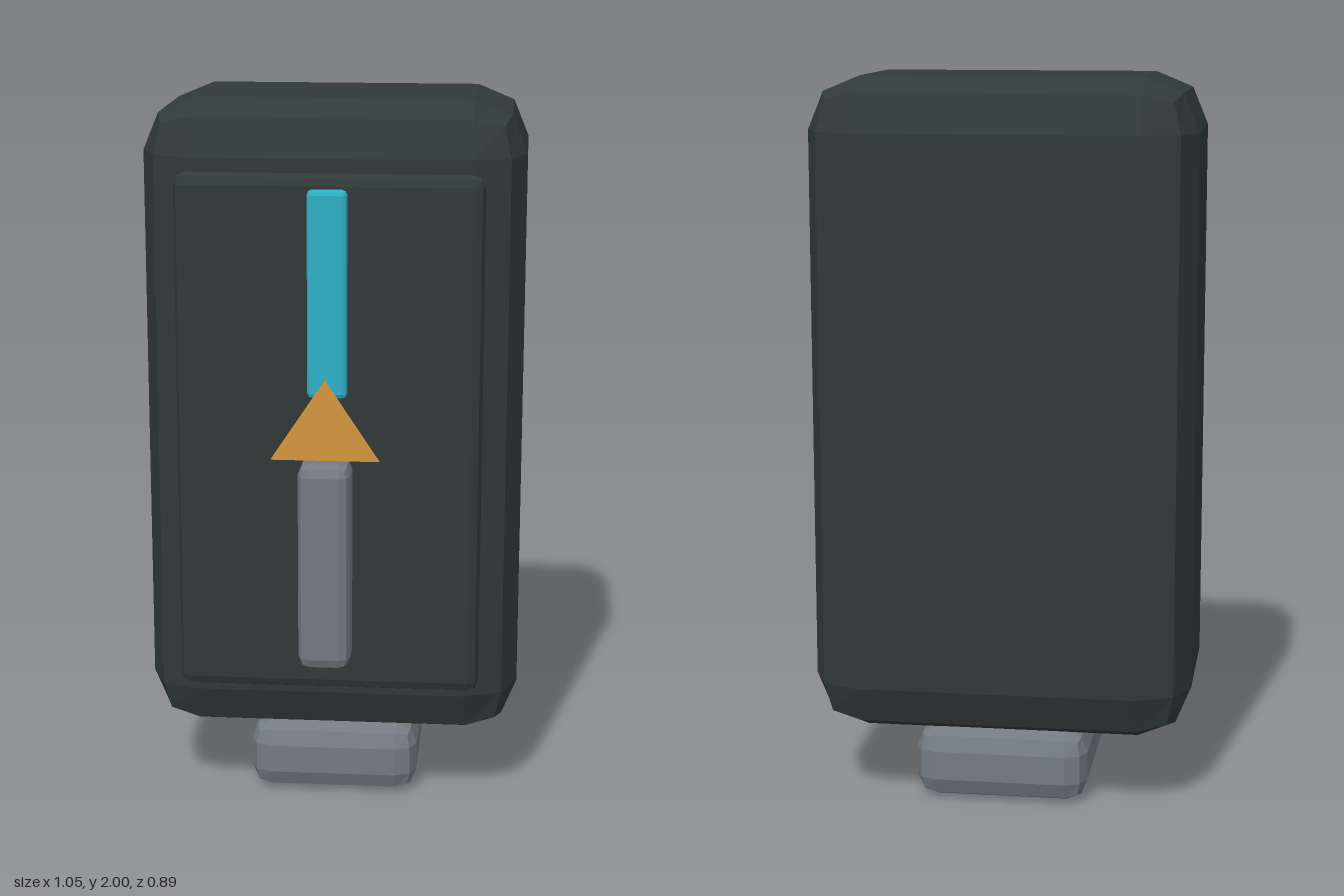
import * as THREE from 'three';
import { RoundedBoxGeometry } from 'three/addons/geometries/RoundedBoxGeometry.js';

function material(name, color) {
  const m = new THREE.MeshStandardMaterial({ color, flatShading: true });
  m.name = name;
  return m;
}

export function createModel() {
  const group = new THREE.Group();
  group.name = 'device';

  const charcoal = material('charcoal', 0x303a39);
  const grey = material('grey', 0x737b83);
  const cyan = material('cyan', 0x2fb0c7);
  const orange = material('orange', 0xd6963e);
  orange.side = THREE.DoubleSide;

  // Box with faceted bevels, given by its size, centre and bevel radius
  function block(name, mat, size, centre, radius) {
    const mesh = new THREE.Mesh(new RoundedBoxGeometry(...size, 1, radius), mat);
    mesh.name = name;
    mesh.position.set(...centre);
    group.add(mesh);
  }

  block('housing', charcoal, [1.05, 1.805, 0.677], [0, 1.0975, -0.109], 0.145);
  block('foot', grey, [0.48, 0.2, 0.52], [0, 0.1, -0.105], 0.06);
  block('frontPanel', charcoal, [0.836, 1.45, 0.062], [0, 1.096, 0.26], 0.031);
  block('lightStrip', cyan, [0.108, 0.565, 0.036], [0, 1.503, 0.312], 0.014);
  block('lever', grey, [0.142, 0.58, 0.137], [0, 0.775, 0.379], 0.033);

  // Flat arrowhead standing above the lever
  const triangle = new THREE.Shape([
    new THREE.Vector2(-0.148, 1.065),
    new THREE.Vector2(0.148, 1.065),
    new THREE.Vector2(0, 1.288),
  ]);
  const arrow = new THREE.Mesh(new THREE.ShapeGeometry(triangle), orange);
  arrow.name = 'arrowhead';
  arrow.position.z = 0.385;
  group.add(arrow);

  return group;
}
